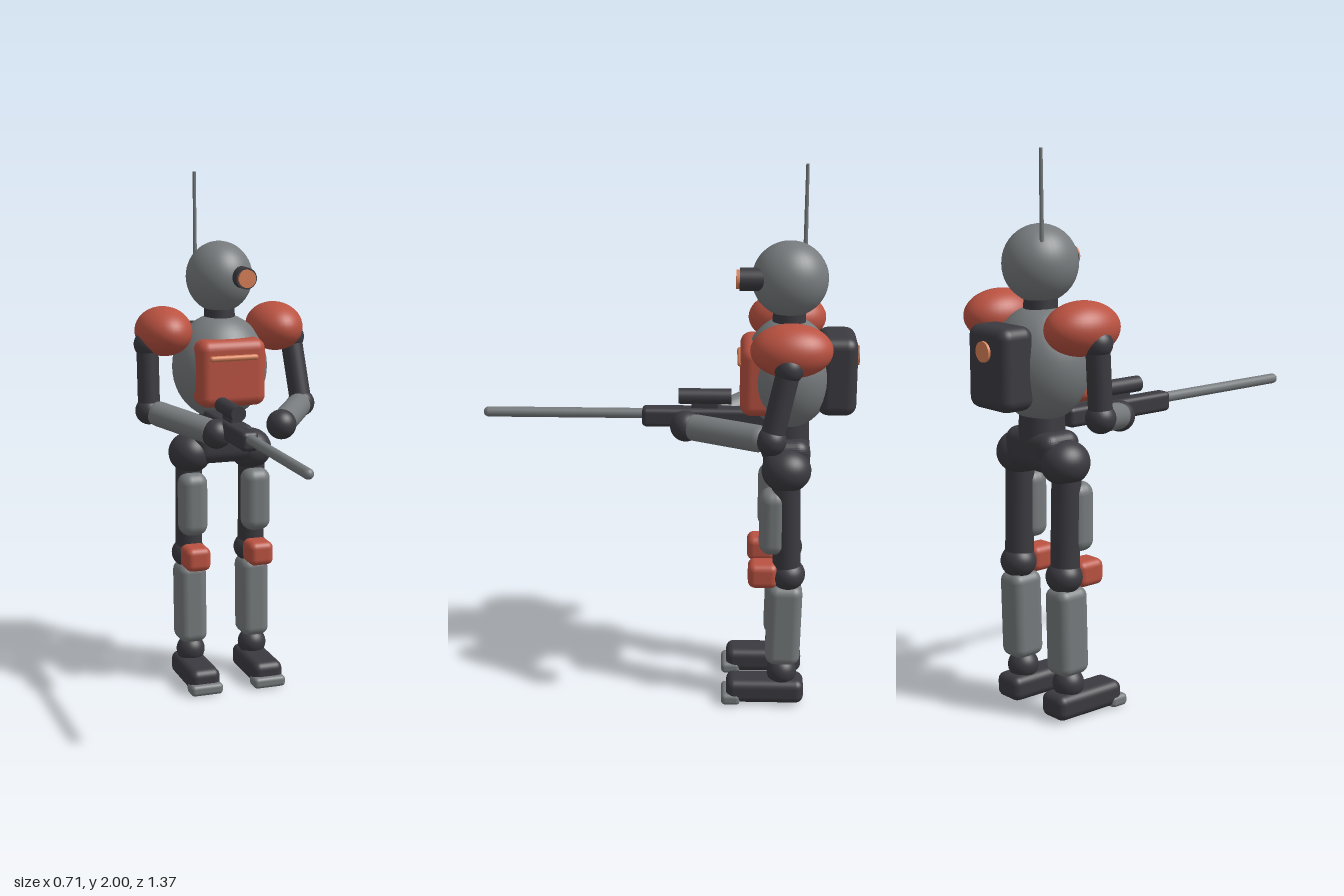
import * as THREE from 'three';
import { RoundedBoxGeometry } from 'three/addons/geometries/RoundedBoxGeometry.js';

const paint = (name, color) => {
  const m = new THREE.MeshStandardMaterial({ color });
  m.name = name;
  return m;
};

export function createModel() {
  const grey = paint('shell grey', 0x767a7c);
  const dark = paint('joint charcoal', 0x3b3a40);
  const red = paint('armour red', 0xba5241);
  const orange = paint('signal orange', 0xd87f56);

  const model = new THREE.Group();
  model.name = 'robotSoldier';
  const CX = -0.013; // body midline

  const add = (name, geo, mat, x, y, z, parent = model) => {
    const mesh = new THREE.Mesh(geo, mat);
    mesh.name = name;
    mesh.position.set(x, y, z);
    parent.add(mesh);
    return mesh;
  };
  const ball = (name, mat, x, y, z, rx, ry = rx, rz = rx) =>
    add(name, new THREE.SphereGeometry(1, 36, 24).scale(rx, ry, rz), mat, x, y, z);
  const box = (name, mat, x, y, z, w, h, d, r) =>
    add(name, new RoundedBoxGeometry(w, h, d, 4, r), mat, x, y, z);
  const rodZ = (name, mat, x, y, z, r, len) =>
    add(name, new THREE.CylinderGeometry(r, r, len, 28).rotateX(Math.PI / 2), mat, x, y, z);
  // Round-ended limb between two points
  const limb = (name, mat, a, b, r) => {
    const p = new THREE.Vector3(...a), q = new THREE.Vector3(...b);
    const dir = q.clone().sub(p), mid = p.clone().add(q).multiplyScalar(0.5);
    const mesh = add(name, new THREE.CapsuleGeometry(r, dir.length(), 8, 24), mat, mid.x, mid.y, mid.z);
    mesh.quaternion.setFromUnitVectors(new THREE.Vector3(0, 1, 0), dir.normalize());
    return mesh;
  };

  // Head, single eye and antenna
  ball('head', grey, CX, 1.605, -0.435, 0.127, 0.136, 0.137);
  rodZ('eyeBarrel', dark, 0.036, 1.614, -0.305, 0.041, 0.1);
  rodZ('eyeLens', orange, 0.036, 1.614, -0.253, 0.034, 0.02);
  add('antenna', new THREE.CylinderGeometry(0.006, 0.008, 0.35, 12), grey, -0.092, 1.825, -0.49);
  add('neck', new THREE.CylinderGeometry(0.058, 0.062, 0.13, 28), dark, CX, 1.455, -0.435);

  // Torso, chest armour and backpack
  ball('torso', grey, CX, 1.26, -0.435, 0.186, 0.205, 0.165);
  box('chestPlate', red, CX + 0.002, 1.253, -0.325, 0.268, 0.258, 0.125, 0.04);
  limb('chestStripe', orange, [-0.098, 1.315, -0.262], [0.074, 1.315, -0.262], 0.011);
  box('backpack', dark, CX, 1.265, -0.61, 0.215, 0.29, 0.14, 0.04);
  rodZ('backpackLamp', orange, CX, 1.325, -0.677, 0.036, 0.025);

  // Waist and pelvis, narrowing downwards
  add('waist', new THREE.CylinderGeometry(0.078, 0.085, 0.14, 32), dark, CX, 1.05, -0.435);
  const pelvis = new RoundedBoxGeometry(0.27, 0.145, 0.17, 5, 0.05);
  const pos = pelvis.attributes.position;
  for (let i = 0; i < pos.count; i++) {
    pos.setX(i, pos.getX(i) * (0.92 + pos.getY(i) * 1.1));
  }
  pelvis.computeVertexNormals();
  add('pelvis', pelvis, dark, CX, 0.957, -0.435);

  // Legs
  for (const [side, s] of [['left', 1], ['right', -1]]) {
    const x = CX + s * 0.129;
    ball(side + 'Hip', dark, x - s * 0.005, 0.925, -0.433, 0.083, 0.08, 0.09);
    limb(side + 'Thigh', dark, [x, 0.88, -0.433], [x, 0.56, -0.442], 0.052);
    box(side + 'ThighPlate', grey, x, 0.73, -0.388, 0.112, 0.25, 0.1, 0.043);
    ball(side + 'Knee', dark, x, 0.52, -0.447, 0.067, 0.06, 0.064);
    box(side + 'KneePad', red, x, 0.522, -0.355, 0.1, 0.094, 0.11, 0.026);
    const shin = box(side + 'Shin', grey, x, 0.322, -0.436, 0.114, 0.32, 0.128, 0.035);
    shin.rotation.x = -0.02;
    ball(side + 'Ankle', dark, x, 0.125, -0.432, 0.056);
    box(side + 'Foot', dark, x, 0.053, -0.37, 0.122, 0.092, 0.29, 0.03);
    box(side + 'ToeCap', grey, x, 0.024, -0.242, 0.13, 0.044, 0.072, 0.016);
  }

  // Arms: shoulder, elbow and hand points
  const arms = [
    ['left', [0.278, 1.36, -0.427], [0.3, 1.105, -0.37], [0.107, 1.09, -0.068]],
    ['right', [-0.304, 1.36, -0.427], [-0.304, 1.105, -0.415], [-0.115, 1.05, -0.165]],
  ];
  for (const [side, shoulder, elbow, hand] of arms) {
    const s = side === 'left' ? 1 : -1;
    ball(side + 'ShoulderPad', red, CX + s * 0.224, 1.405, -0.437, 0.107, 0.094, 0.144);
    ball(side + 'ShoulderJoint', dark, ...shoulder, 0.052);
    limb(side + 'UpperArm', dark, shoulder, elbow, 0.042);
    ball(side + 'Elbow', dark, ...elbow, 0.053);
    const wrist = elbow.map((v, i) => v + (hand[i] - v) * 0.88);
    const start = elbow.map((v, i) => v + (hand[i] - v) * 0.15);
    limb(side + 'Forearm', grey, start, wrist, 0.048);
    ball(side + 'Hand', dark, ...hand, 0.056);
  }

  // Rifle held across the front
  const gx = -0.071;
  box('rifleBody', dark, gx, 1.067, -0.14, 0.066, 0.072, 0.475, 0.018);
  limb('rifleBarrel', grey, [gx, 1.077, 0.06], [gx, 1.077, 0.665], 0.019);
  rodZ('rifleScope', dark, gx, 1.145, -0.135, 0.029, 0.195);
  box('scopeMount', dark, gx, 1.11, -0.135, 0.03, 0.04, 0.1, 0.006);

  return model;
}
